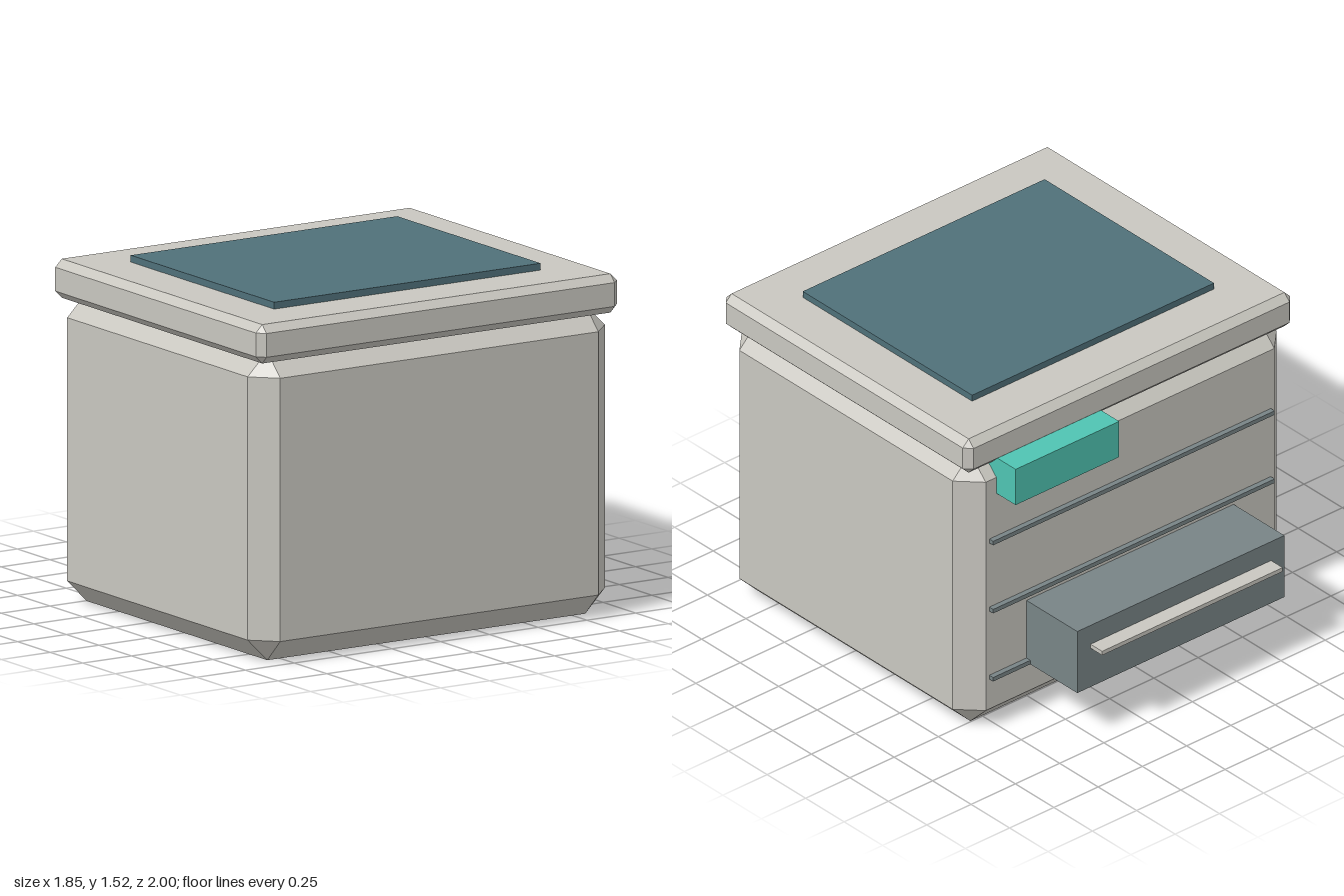
import * as THREE from 'three';
import { ConvexGeometry } from 'three/addons/geometries/ConvexGeometry.js';

const material = (name, color) => {
  const m = new THREE.MeshStandardMaterial({ color });
  m.name = name;
  return m;
};

// Box between two corners
function box(name, mat, [x0, y0, z0], [x1, y1, z1]) {
  const mesh = new THREE.Mesh(new THREE.BoxGeometry(x1 - x0, y1 - y0, z1 - z0), mat);
  mesh.position.set((x0 + x1) / 2, (y0 + y1) / 2, (z0 + z1) / 2);
  mesh.name = name;
  return mesh;
}

// Box between two corners with all edges cut at 45 degrees
function chamferedBox(name, mat, [x0, y0, z0], [x1, y1, z1], cut) {
  const a = (x1 - x0) / 2, b = (y1 - y0) / 2, c = (z1 - z0) / 2;
  const points = [];
  for (const i of [-1, 1]) for (const j of [-1, 1]) for (const k of [-1, 1]) {
    points.push(
      new THREE.Vector3(i * a, j * (b - cut), k * (c - cut)),
      new THREE.Vector3(i * (a - cut), j * b, k * (c - cut)),
      new THREE.Vector3(i * (a - cut), j * (b - cut), k * c));
  }
  const mesh = new THREE.Mesh(new ConvexGeometry(points), mat);
  mesh.position.set((x0 + x1) / 2, (y0 + y1) / 2, (z0 + z1) / 2);
  mesh.name = name;
  return mesh;
}

export function createModel() {
  const shell = material('warm grey shell', 0xc9c7c0);
  const slate = material('slate grey', 0x788486);
  const glass = material('dark teal panel', 0x4f7079);
  const teal = material('bright teal', 0x4fc4b2);
  const group = new THREE.Group();
  group.name = 'cabinet';

  // Housing and lid
  group.add(chamferedBox('body', shell, [-0.915, 0, -0.595], [0.915, 1.35, 0.99], 0.1));
  group.add(chamferedBox('lid', shell, [-0.925, 1.32, -0.605], [0.925, 1.49, 1], 0.033));
  group.add(box('topPanel', glass, [-0.683, 1.48, -0.355], [0.683, 1.52, 0.745]));

  // Back: control block, drawer with handle, seam strips
  group.add(box('controlBlock', teal, [0.17, 1.17, -0.72], [0.755, 1.35, -0.52]));
  group.add(box('drawer', slate, [-0.585, 0.25, -0.925], [0.585, 0.56, -0.55]));
  group.add(box('drawerHandle', shell, [-0.51, 0.445, -1], [0.51, 0.465, -0.91]));
  for (const y of [0.26, 0.603, 0.946]) {
    group.add(box('seamStrip', slate, [-0.795, y - 0.01, -0.62], [0.795, y + 0.01, -0.58]));
  }
  return group;
}
